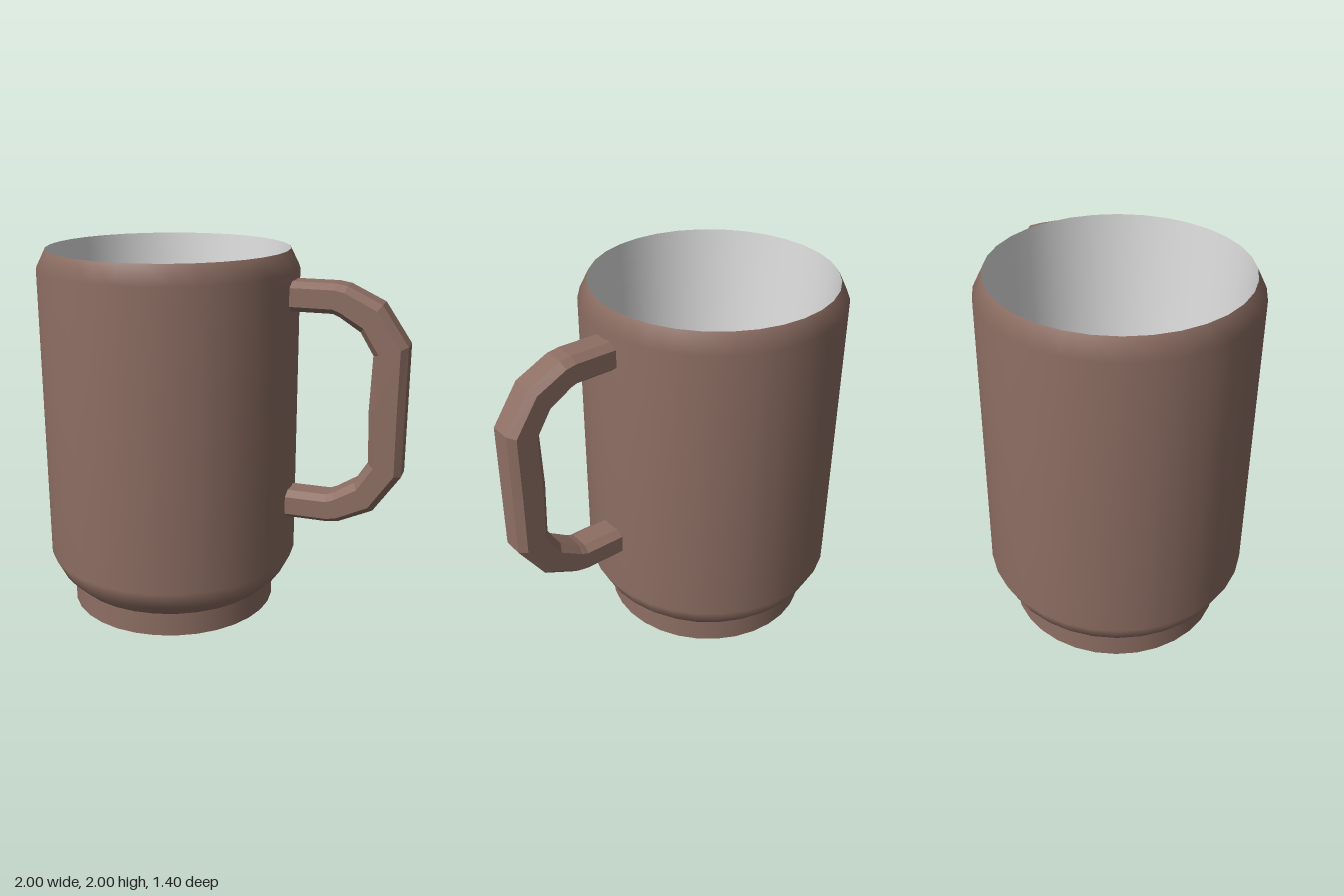
import * as THREE from 'three';

const brown = new THREE.MeshStandardMaterial({ color: 0x8d6e63 });
brown.name = 'brown glaze';
const white = new THREE.MeshStandardMaterial({ color: 0xe0e0e0 });
white.name = 'pale inner glaze';

const SIDES = 32;
const AXIS_X = -0.3; // centre of the cup; the handle fills the rest of the width
const FLOOR_Y = 0.14;

function addMesh(parent, name, geometry, material) {
  const mesh = new THREE.Mesh(geometry, material);
  mesh.name = name;
  parent.add(mesh);
  return mesh;
}

function lathe(points) {
  return new THREE.LatheGeometry(points.map(([r, y]) => new THREE.Vector2(r, y)), SIDES);
}

// Chamfered bar swept through [outer point, inner point] pairs
function handleGeometry(sections) {
  const halfWidth = 0.095, flatHalf = 0.055, chamfer = 0.19;
  // [fraction from inner to outer, z]
  const profile = [
    [1, -flatHalf], [1, flatHalf], [1 - chamfer, halfWidth], [chamfer, halfWidth],
    [0, flatHalf], [0, -flatHalf], [chamfer, -halfWidth], [1 - chamfer, -halfWidth],
  ];
  const n = profile.length;
  const positions = [];
  for (const [outer, inner] of sections) {
    for (const [t, z] of profile) {
      positions.push(inner[0] + (outer[0] - inner[0]) * t, inner[1] + (outer[1] - inner[1]) * t, z);
    }
  }
  const index = [];
  for (let i = 0; i < sections.length - 1; i++) {
    for (let j = 0; j < n; j++) {
      const k = (j + 1) % n;
      const a = i * n + j, b = i * n + k, c = b + n, d = a + n;
      index.push(a, b, c, a, c, d);
    }
  }
  const geometry = new THREE.BufferGeometry();
  geometry.setAttribute('position', new THREE.Float32BufferAttribute(positions, 3));
  geometry.setIndex(index);
  const flat = geometry.toNonIndexed();
  flat.computeVertexNormals();
  return flat;
}

export function createModel() {
  const mug = new THREE.Group();
  mug.name = 'mug';

  const cup = new THREE.Group();
  cup.name = 'cup';
  cup.position.x = AXIS_X;
  mug.add(cup);

  // Outer wall with rounded shoulder and bevelled lip
  addMesh(cup, 'outerWall', lathe([
    [0.575, 0.13], [0.645, 0.2], [0.7, 0.31], [0.7, 1.9], [0.65, 2],
  ]), brown);

  // Foot ring and underside
  addMesh(cup, 'foot', lathe([[0.575, 0], [0.575, 0.13]]), brown);
  addMesh(cup, 'underside', new THREE.CircleGeometry(0.575, SIDES).rotateX(Math.PI / 2), brown);

  // Tapered inside and floor
  addMesh(cup, 'innerWall', lathe([[0.65, 2], [0.575, FLOOR_Y]]), white);
  const floor = addMesh(cup, 'innerFloor', new THREE.CircleGeometry(0.575, SIDES).rotateX(-Math.PI / 2), white);
  floor.position.y = FLOOR_Y;

  // Handle: upper half, then mirrored about its mid height
  const midY = 1.215;
  const upper = [
    [[0.37, 1.86], [0.37, 1.705]],
    [[0.62, 1.86], [0.61, 1.705]],
    [[0.68, 1.85], [0.645, 1.69]],
    [[0.86, 1.765], [0.755, 1.62]],
    [[1, 1.56], [0.825, 1.505]],
  ];
  const middle = [[[1, midY], [0.815, midY]]];
  const flip = ([x, y]) => [x, 2 * midY - y];
  const lower = upper.map((pair) => pair.map(flip)).reverse();
  addMesh(mug, 'handle', handleGeometry([...upper, ...middle, ...lower]), brown);

  return mug;
}
